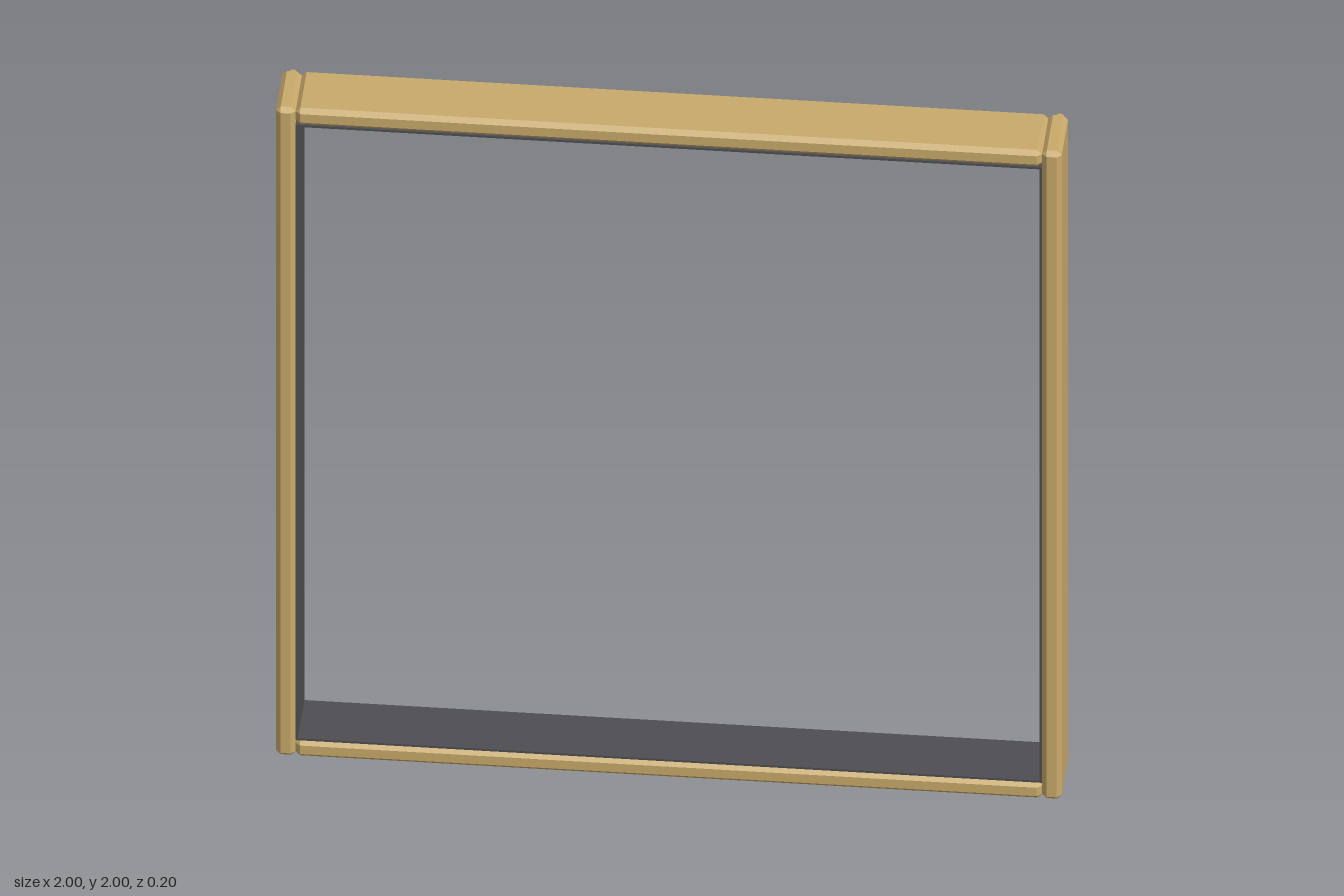
import * as THREE from 'three';
import { ConvexGeometry } from 'three/addons/geometries/ConvexGeometry.js';

// Box with every edge chamfered by c
function chamferedBox(w, h, d, c) {
  const points = [];
  for (const sx of [-1, 1]) for (const sy of [-1, 1]) for (const sz of [-1, 1]) {
    const x = sx * w / 2, y = sy * h / 2, z = sz * d / 2;
    points.push(
      new THREE.Vector3(x, y - sy * c, z - sz * c),
      new THREE.Vector3(x - sx * c, y, z - sz * c),
      new THREE.Vector3(x - sx * c, y - sy * c, z));
  }
  return new ConvexGeometry(points);
}

export function createModel() {
  const model = new THREE.Group();
  model.name = 'squareFrame';
  const wood = new THREE.MeshStandardMaterial({ color: 0xc8a96a });
  wood.name = 'lightWood';
  const dark = new THREE.MeshStandardMaterial({ color: 0x4e4e52 });
  dark.name = 'darkLining';

  const add = (name, geometry, material, x, y, z) => {
    const mesh = new THREE.Mesh(geometry, material);
    mesh.name = name;
    mesh.position.set(x, y, z);
    model.add(mesh);
    return mesh;
  };

  const bar = 0.05, depth = 0.182, midZ = 0.008, chamfer = 0.012;
  const inner = 2 - 2 * bar, lining = 0.006;

  // Upright side bars and the rails between them
  const stile = chamferedBox(bar, 2, depth, chamfer);
  const rail = chamferedBox(inner, bar, depth, chamfer);
  // Thin dark lining around the opening
  const sideLining = new THREE.BoxGeometry(lining, inner, depth - 0.012);
  const railLining = new THREE.BoxGeometry(inner - 2 * lining, lining, depth - 0.012);
  // Small round pegs with a wider head on the back corners
  const shank = new THREE.CylinderGeometry(0.009, 0.009, 0.02, 12);
  const head = new THREE.CylinderGeometry(0.013, 0.013, 0.007, 12);

  for (const s of [1, -1]) {
    const side = s > 0 ? 'left' : 'right', level = s > 0 ? 'top' : 'bottom';
    add(side + 'Stile', stile, wood, s * (1 - bar / 2), 1, midZ);
    add(level + 'Rail', rail, wood, 0, 1 + s * (1 - bar / 2), midZ);
    add(side + 'Lining', sideLining, dark, s * (inner - lining) / 2, 1, midZ);
    add(level + 'Lining', railLining, dark, 0, 1 + s * (inner - lining) / 2, midZ);
    for (const t of [1, -1]) {
      const x = s * 0.976, y = 1 + t * 0.973;
      add(side + 'PegShank', shank, wood, x, y, -0.086).rotation.x = Math.PI / 2;
      add(side + 'PegHead', head, wood, x, y, -0.0955).rotation.x = Math.PI / 2;
    }
  }
  return model;
}
